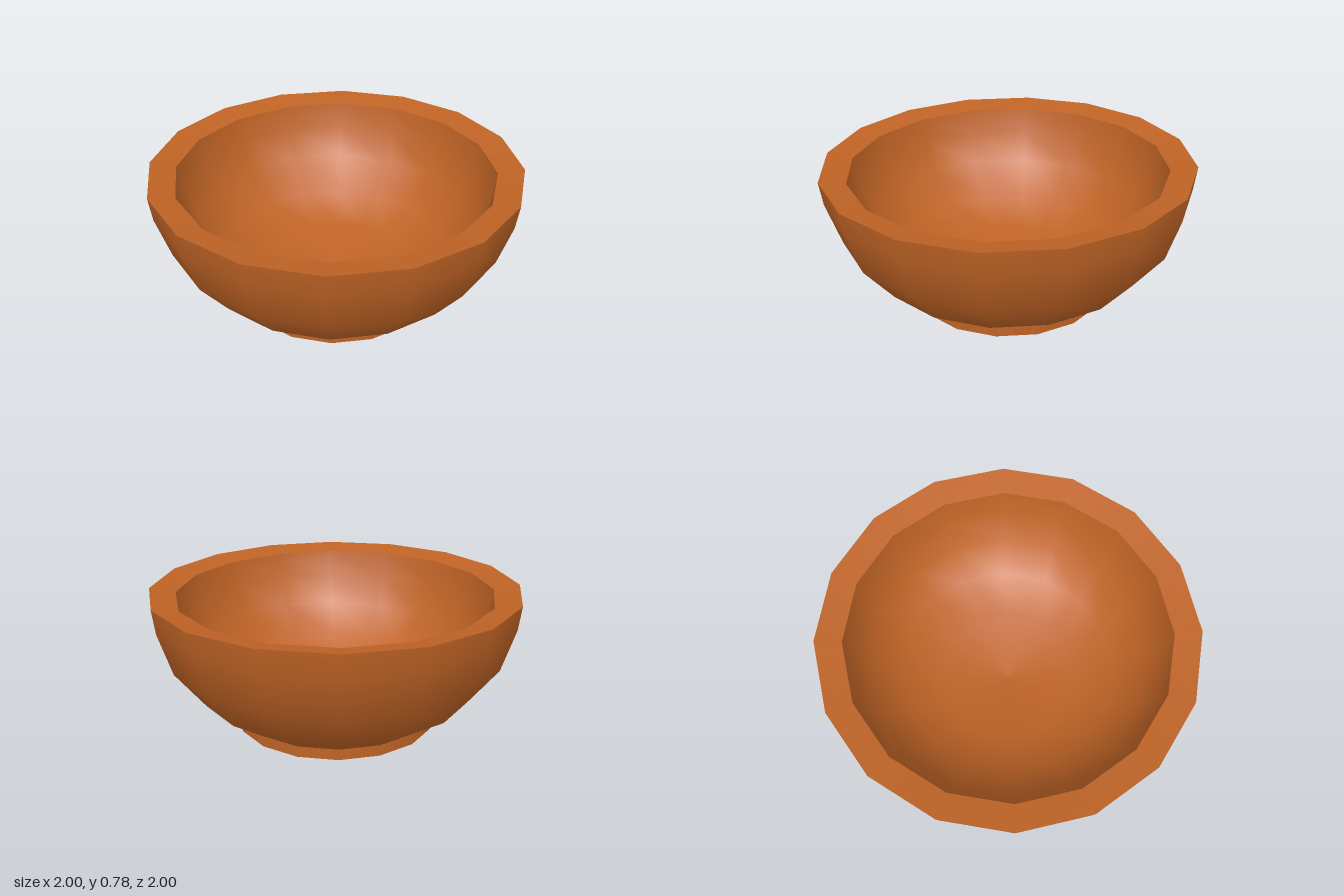
import * as THREE from 'three';

const SIDES = 16;

export function createModel() {
  const model = new THREE.Group();
  model.name = 'bowl';
  const clay = new THREE.MeshStandardMaterial({ color: 0xbf6325 });
  clay.name = 'terracotta';

  // Each band is smooth in itself; the borders between bands stay sharp.
  const bands = {
    footRecess: [[0, 0.05], [0.38, 0.045], [0.46, 0.01]],
    footRing: [[0.46, 0.01], [0.555, 0]],
    footWall: [[0.555, 0], [0.555, 0.06]],
    outerWall: [[0.555, 0.06], [0.75, 0.19], [0.91, 0.395], [0.983, 0.625], [1, 0.755]],
    rim: [[1, 0.755], [0.86, 0.73]],
    innerWall: [[0.86, 0.73], [0.835, 0.6], [0.76, 0.42], [0.6, 0.25], [0.38, 0.15], [0, 0.11]],
  };

  for (const [name, profile] of Object.entries(bands)) {
    const points = profile.map(([r, y]) => new THREE.Vector2(r, y));
    const mesh = new THREE.Mesh(new THREE.LatheGeometry(points, SIDES), clay);
    mesh.name = name;
    mesh.rotation.y = 0.016;
    model.add(mesh);
  }

  // The bowl leans very slightly towards the front left.
  model.rotation.set(0.01, 0, -0.01);
  model.position.set(-0.0075, 0.008, -0.0075);
  return model;
}
